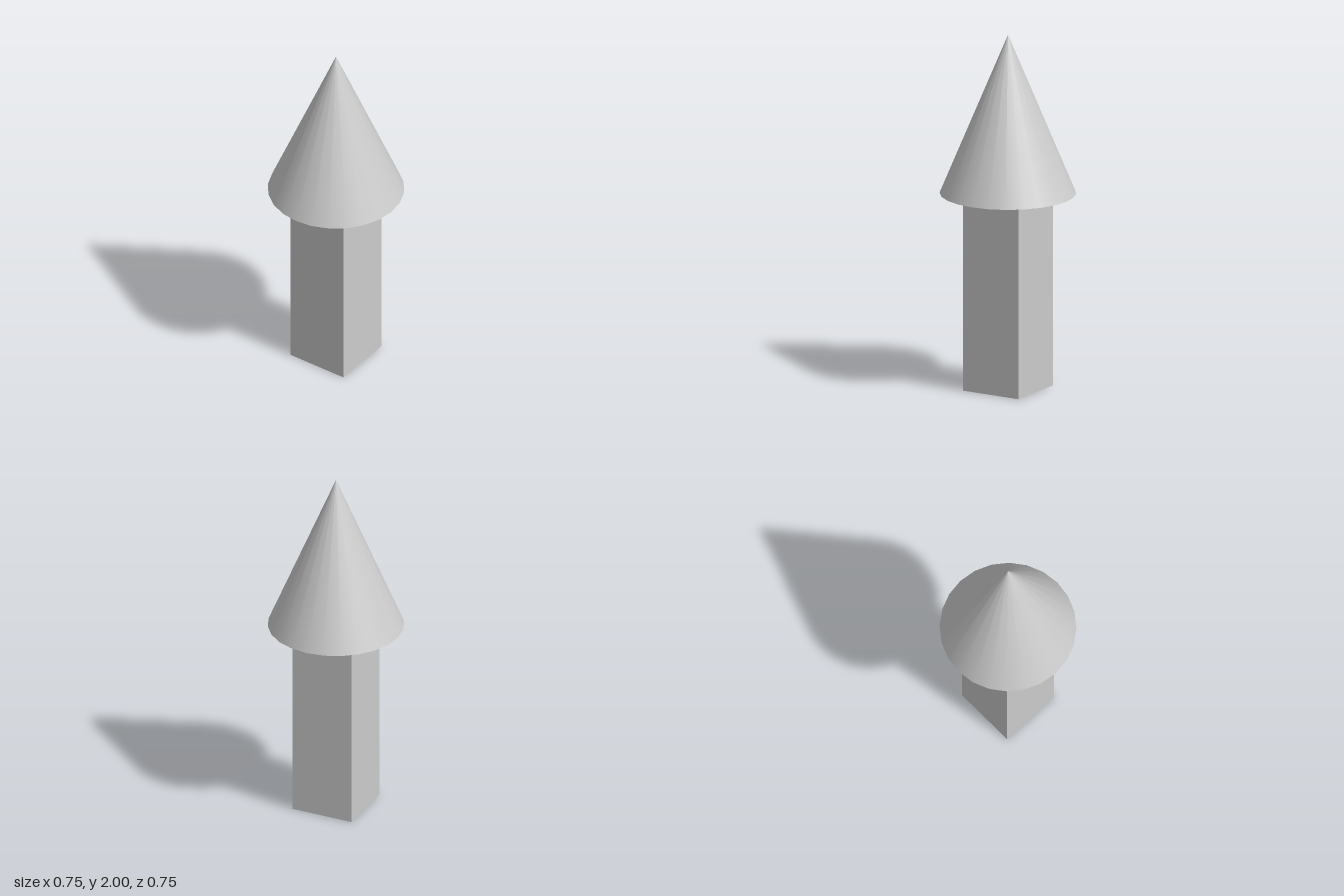
import * as THREE from 'three';

export function createModel() {
  const group = new THREE.Group();
  const material = new THREE.MeshStandardMaterial({ color: 0xcccccc });
  const shaftHeight = 1.105, shaftWidth = 0.356, tipHeight = 2 - shaftHeight;

  const addPart = (name, geometry, y) => {
    const mesh = new THREE.Mesh(geometry, material);
    mesh.name = name;
    mesh.position.y = y;
    group.add(mesh);
  };

  // Square shaft standing on the ground
  addPart('shaft', new THREE.BoxGeometry(shaftWidth, shaftHeight, shaftWidth), shaftHeight / 2);

  // Smooth 24-sided cone with a flat underside
  addPart('tip', new THREE.ConeGeometry(0.375, tipHeight, 24), shaftHeight + tipHeight / 2);

  return group;
}
